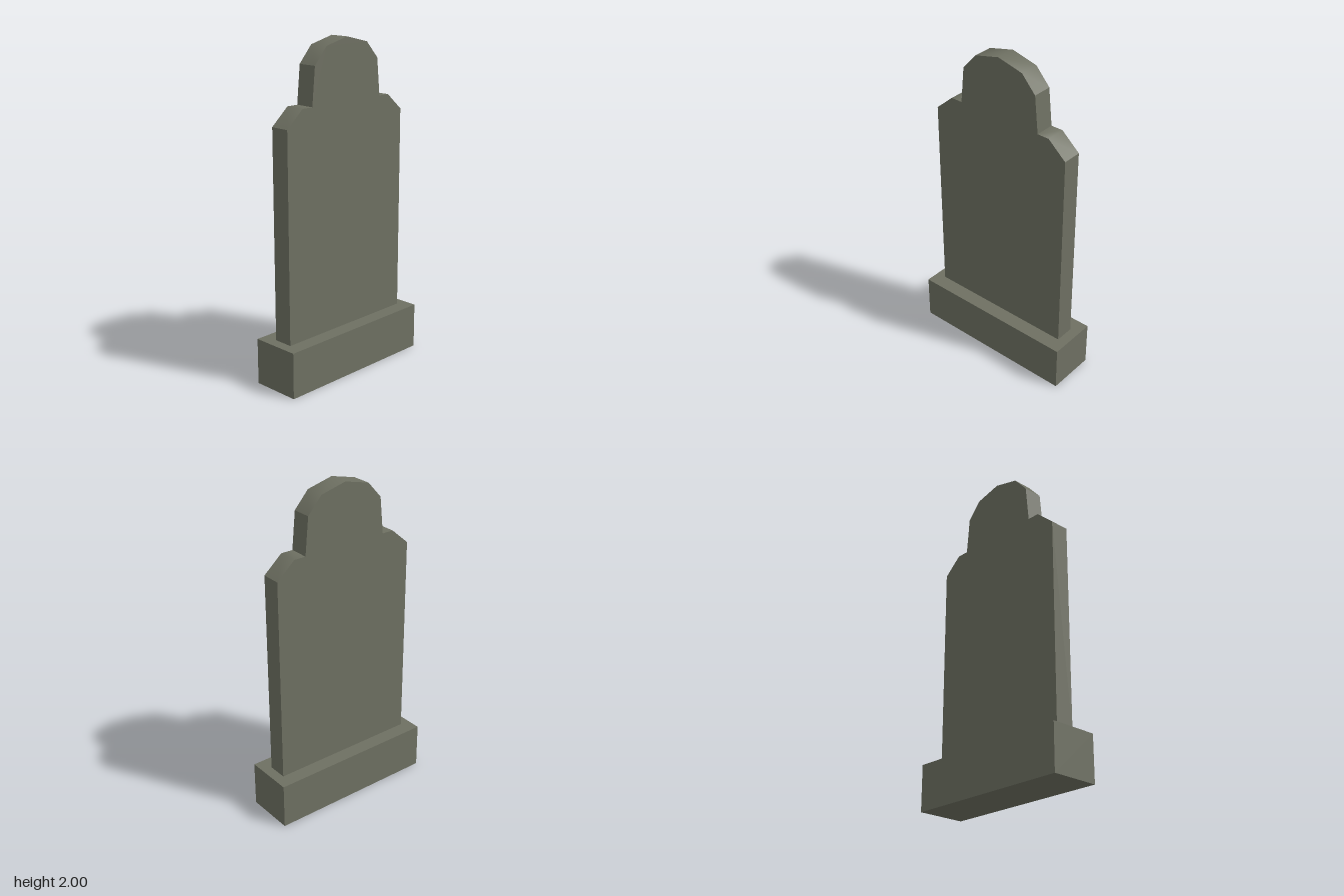
import * as THREE from 'three';
import { mergeGeometries } from 'three/addons/utils/BufferGeometryUtils.js';

const BASE_TOP = 0.28;
const HALF = 0.06; // half thickness of the slab

// Rim band through outline points (counterclockwise), smooth within one run
function rimBand(points) {
  const positions = [];
  const index = [];
  points.forEach(([x, y], i) => {
    positions.push(x, y, HALF, x, y, -HALF);
    if (i > 0) {
      const a = 2 * (i - 1);
      index.push(a, a + 1, a + 2, a + 2, a + 1, a + 3);
    }
  });
  const geometry = new THREE.BufferGeometry();
  geometry.setAttribute('position', new THREE.Float32BufferAttribute(positions, 3));
  geometry.setIndex(index);
  geometry.computeVertexNormals();
  return geometry;
}

function slabGeometry() {
  // Right half of the outline, split into runs at its sharp corners
  const side = [[0.465, BASE_TOP], [0.465, 1.535]];
  const shoulder = [[0.465, 1.535], [0.35, 1.635], [0.275, 1.635]];
  const neck = [[0.275, 1.635], [0.253, 1.86]];
  const halfArch = [[0.253, 1.86], [0.163, 1.96], [0, 2]];
  const mirror = (run) => run.map(([x, y]) => [-x, y]).reverse();

  const arch = [...halfArch, ...mirror(halfArch).slice(1)];
  const bottom = [[-0.465, BASE_TOP], [0.465, BASE_TOP]];
  const runs = [side, shoulder, neck, arch, mirror(neck), mirror(shoulder), mirror(side), bottom];

  // Front and back faces
  const outline = runs.flatMap((run) => run.slice(0, -1)).map(([x, y]) => new THREE.Vector2(x, y));
  const front = new THREE.ShapeGeometry(new THREE.Shape(outline));
  front.deleteAttribute('uv');
  const back = front.clone().rotateY(Math.PI); // the outline is symmetric
  front.translate(0, 0, HALF);
  back.translate(0, 0, -HALF);

  return mergeGeometries([front, back, ...runs.map(rimBand)]);
}

export function createModel() {
  const stone = new THREE.MeshStandardMaterial({ color: 0x6e7062 });
  stone.name = 'grey stone';

  const model = new THREE.Group();
  model.name = 'headstone';

  // Plinth
  const base = new THREE.Mesh(new THREE.BoxGeometry(1.056, BASE_TOP, 0.302), stone);
  base.name = 'base';
  base.position.y = BASE_TOP / 2;

  // Upright slab with shoulders and arched top
  const slab = new THREE.Mesh(slabGeometry(), stone);
  slab.name = 'slab';

  model.add(base, slab);
  return model;
}
